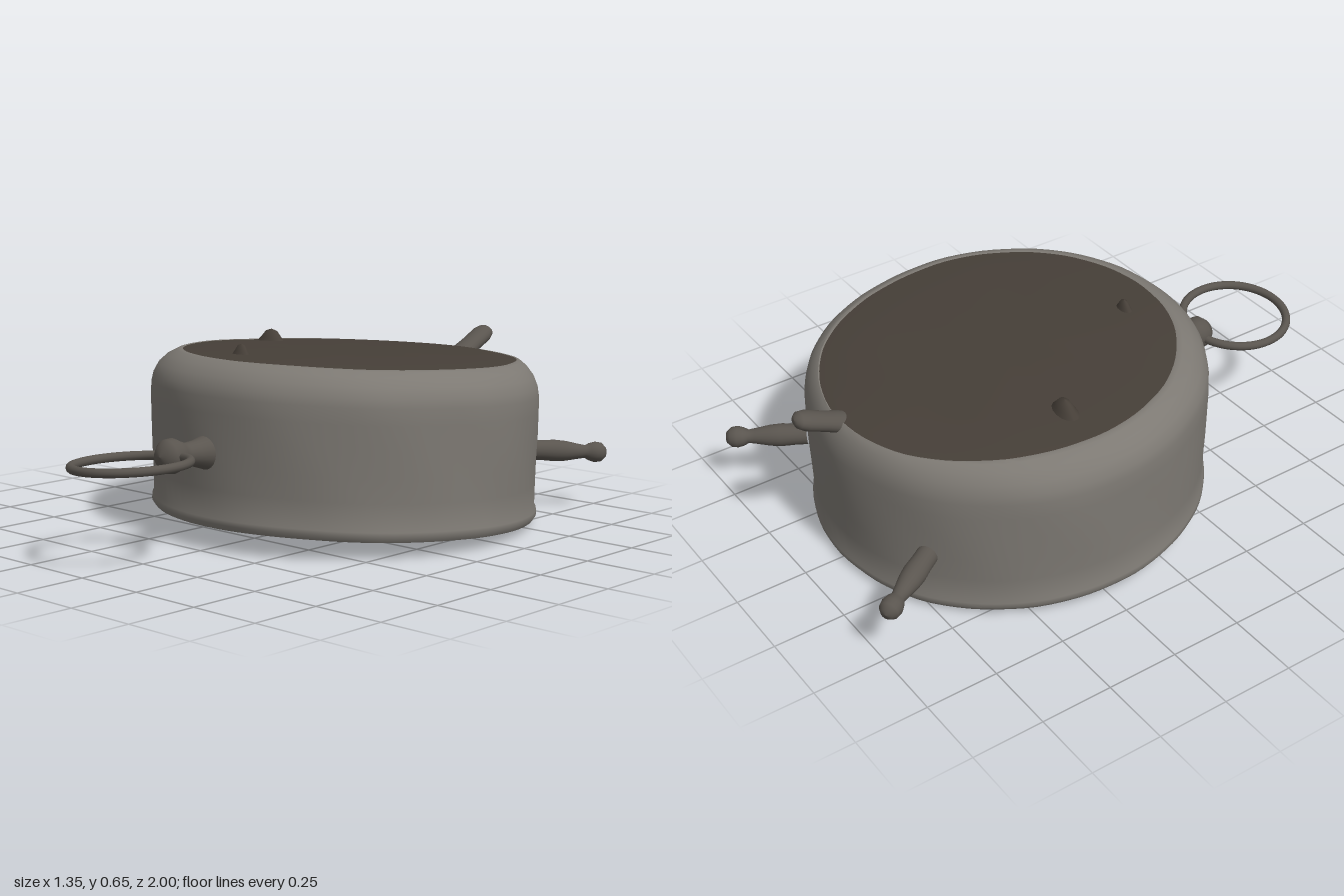
import * as THREE from 'three';
import { mergeVertices, toCreasedNormals } from 'three/addons/utils/BufferGeometryUtils.js';

const metal = new THREE.MeshStandardMaterial({ color: 0x7d7973 });
const backMetal = new THREE.MeshStandardMaterial({ color: 0x463f38 });
const darkMetal = new THREE.MeshStandardMaterial({ color: 0x5a554f });
const dialPaint = new THREE.MeshStandardMaterial({ color: 0x6b6650 });
const markPaint = new THREE.MeshStandardMaterial({ color: 0x2e2c25 });

function add(parent, name, geometry, material) {
  const mesh = new THREE.Mesh(geometry, material);
  mesh.name = name;
  parent.add(mesh);
  return mesh;
}

const lathe = (pairs, segments) =>
  new THREE.LatheGeometry(pairs.map(([r, y]) => new THREE.Vector2(r, y)), segments);

// Hand-worn drum: slight waviness, a squarer shoulder toward the feet,
// and a lean that keeps the wall upright on the tipped drum
function worn(geometry, amount) {
  geometry.deleteAttribute('uv');
  geometry.deleteAttribute('normal');
  const p = geometry.attributes.position;
  for (let i = 0; i < p.count; i++) {
    const x = p.getX(i), y = p.getY(i), z = p.getZ(i);
    const a = Math.atan2(z, x), r = Math.hypot(x, z);
    let k = 1 + amount * (Math.sin(5 * a + 9 * y) + 0.6 * Math.sin(11 * a - 14 * y) + 0.4 * Math.sin(23 * a + 30 * y));
    if (y > 0.4 && r > 0.45) {
      const back = Math.max(0, -Math.sin(a)) ** 2;
      k *= 1 + (0.6 * back * (0.67 - r)) / r;
    }
    p.setXYZ(i, x * k, y + amount * 0.6 * Math.sin(7 * a) * r, z * k + 0.045 * y);
  }
  return toCreasedNormals(mergeVertices(geometry), 0.7);
}

// Turned pin running from one point toward another; profile length is along the axis
function pin(parent, name, profile, from, to) {
  const start = new THREE.Vector3(...from);
  const dir = new THREE.Vector3(...to).sub(start).normalize();
  const mesh = add(parent, name, lathe(profile, 20), darkMetal);
  mesh.position.copy(start);
  mesh.quaternion.setFromUnitVectors(new THREE.Vector3(0, 1, 0), dir);
  return mesh;
}

// Flat bar lying on the dial, starting at radius r0 in direction a
function dialBar(parent, name, r0, length, width, a, y) {
  const geometry = new THREE.BoxGeometry(width, 0.008, length).translate(0, y, r0 + length / 2);
  add(parent, name, geometry, markPaint).rotation.y = a;
}

export function createModel() {
  const model = new THREE.Group();
  model.name = 'alarmClock';

  // Drum lies dial-down, tipped slightly toward the feet
  const drum = new THREE.Group();
  drum.name = 'drum';
  drum.position.set(0, 0.04, -0.195);
  drum.rotation.x = -0.055;
  model.add(drum);

  // Case wall with rolled front rim and rounded back shoulder
  const wall = [[0.605, 0.042], [0.618, 0.015], [0.638, 0], [0.662, 0.004], [0.674, 0.022], [0.673, 0.038],
    [0.667, 0.052], [0.667, 0.13], [0.669, 0.21], [0.671, 0.3], [0.672, 0.38], [0.672, 0.435],
    [0.666, 0.465], [0.648, 0.499], [0.617, 0.528], [0.585, 0.545], [0.572, 0.549], [0.562, 0.547]];
  add(drum, 'case', worn(lathe(wall, 96), 0.002), metal);

  // Slightly domed back plate
  const plate = [[0.57, 0.547], [0.5, 0.553], [0.4, 0.558], [0.25, 0.562], [0, 0.565]];
  add(drum, 'backPlate', worn(lathe(plate, 96), 0.002), backMetal);

  // Recessed dial
  add(drum, 'dial', lathe([[0, 0.046], [0.3, 0.045], [0.612, 0.038]], 72), dialPaint);

  // Hour marks, in single and double bars
  for (let i = 0; i < 12; i++) {
    const a = (i / 12) * Math.PI * 2;
    const offsets = i % 3 === 0 ? [-0.045, 0.045] : [0];
    offsets.forEach((o) => dialBar(drum, 'hourMark', 0.43, 0.11, 0.025, a + o, 0.041));
  }

  // Hands, hub and small alarm subdial
  dialBar(drum, 'hourHand', -0.05, 0.3, 0.025, 2.2, 0.038);
  dialBar(drum, 'minuteHand', -0.06, 0.46, 0.018, -0.9, 0.035);
  add(drum, 'handHub', new THREE.CylinderGeometry(0.025, 0.025, 0.02, 16).translate(0, 0.036, 0), markPaint);
  const subdial = add(drum, 'alarmSubdial', new THREE.TorusGeometry(0.1, 0.005, 6, 36), markPaint);
  subdial.rotation.x = Math.PI / 2;
  subdial.position.set(0, 0.044, -0.24);

  // Stubs of the winding keys on the back
  [[-0.41, -0.025, 0.05, 0.05], [-0.08, 0.455, 0.03, 0.04]].forEach(([x, z, r, h]) => {
    const profile = [[r * 1.3, 0], [r * 0.9, h * 0.4], [r * 0.5, h * 0.85], [0, h]];
    const stub = add(drum, 'keyStub', lathe(profile, 14), backMetal);
    stub.position.set(x, 0.55, z);
    stub.scale.z = 0.6;
  });

  // Two turned feet with ball ends
  const footProfile = [[0.036, 0], [0.036, 0.04], [0.039, 0.09], [0.036, 0.13], [0.027, 0.18], [0.023, 0.205],
    [0.031, 0.22], [0.037, 0.242], [0.034, 0.264], [0.02, 0.28], [0, 0.285]];
  pin(model, 'rightFoot', footProfile, [-0.375, 0.225, -0.755], [-0.515, 0.207, -0.985]);
  pin(model, 'leftFoot', footProfile, [0.395, 0.225, -0.75], [0.555, 0.207, -0.97]);

  // Flattened prop leg, rising away from the back edge
  const propProfile = [[0.05, 0], [0.045, 0.05], [0.041, 0.12], [0.042, 0.19], [0.034, 0.217], [0.018, 0.23], [0, 0.233]];
  pin(model, 'propLeg', propProfile, [0.02, 0.51, -0.77], [0.015, 0.608, -0.975]).scale.z = 0.75;

  // Ring post with ball
  const postProfile = [[0.064, 0], [0.054, 0.03], [0.043, 0.07], [0.038, 0.11], [0.046, 0.135],
    [0.058, 0.165], [0.055, 0.19], [0.035, 0.212], [0, 0.22]];
  pin(model, 'ringPost', postProfile, [-0.01, 0.325, 0.445], [-0.01, 0.336, 0.665]);

  // Carrying ring
  const ring = add(model, 'ring', new THREE.TorusGeometry(0.187, 0.015, 12, 64), darkMetal);
  ring.rotation.set(Math.PI / 2, 0.06, 0);
  ring.position.set(0, 0.334, 0.795);

  return model;
}
